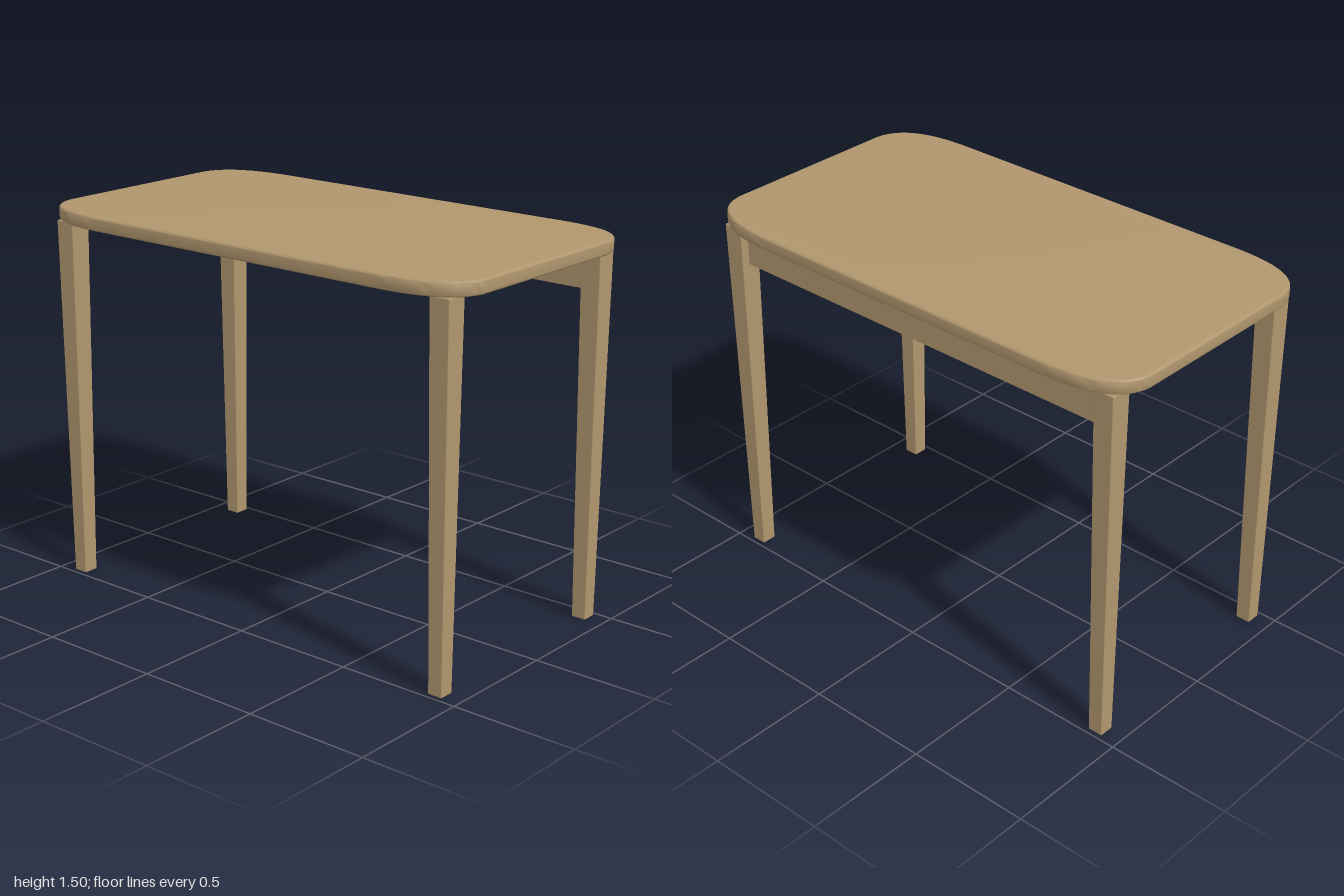
import * as THREE from 'three';
import { toCreasedNormals } from 'three/addons/utils/BufferGeometryUtils.js';
import { RoundedBoxGeometry } from 'three/addons/geometries/RoundedBoxGeometry.js';

const TOP_Y = 1.5, UNDER_Y = 1.445;

// Board with long, soft corners and a small rounded edge
function tabletopGeometry() {
  const corner = new THREE.CubicBezierCurve(
    new THREE.Vector2(1, 0.37), new THREE.Vector2(0.99, 0.475),
    new THREE.Vector2(0.9, 0.545), new THREE.Vector2(0.68, 0.548)
  ).getPoints(14);
  const mirror = (sx, sy) => corner.map(p => new THREE.Vector2(p.x * sx, p.y * sy));
  const outline = [
    ...mirror(1, 1), ...mirror(-1, 1).reverse(),
    ...mirror(-1, -1), ...mirror(1, -1).reverse(),
  ];
  const bevel = 0.01;
  const geometry = new THREE.ExtrudeGeometry(new THREE.Shape(outline), {
    depth: TOP_Y - UNDER_Y - 2 * bevel,
    bevelThickness: bevel, bevelSize: bevel, bevelOffset: -bevel, bevelSegments: 4,
  });
  geometry.rotateX(-Math.PI / 2).translate(0, UNDER_Y + bevel, 0);
  return toCreasedNormals(geometry, 0.7);
}

// Square leg, tapering towards the floor
function legGeometry() {
  const topWidth = 0.086, footWidth = 0.06;
  const geometry = new RoundedBoxGeometry(1, UNDER_Y, 1, 2, 0.006);
  geometry.dispose();
  const leg = new RoundedBoxGeometry(topWidth, UNDER_Y, topWidth, 2, 0.005);
  leg.translate(0, UNDER_Y / 2, 0);
  const pos = leg.attributes.position;
  for (let i = 0; i < pos.count; i++) {
    const k = THREE.MathUtils.lerp(footWidth / topWidth, 1, pos.getY(i) / UNDER_Y);
    pos.setX(i, pos.getX(i) * k);
    pos.setZ(i, pos.getZ(i) * k);
  }
  return leg;
}

export function createModel() {
  const table = new THREE.Group();
  table.name = 'table';
  const wood = new THREE.MeshStandardMaterial({ color: 0xb0966e });
  wood.name = 'light wood';

  const add = (geometry, name, x = 0, y = 0, z = 0) => {
    const mesh = new THREE.Mesh(geometry, wood);
    mesh.name = name;
    mesh.position.set(x, y, z);
    table.add(mesh);
  };

  add(tabletopGeometry(), 'tabletop');

  const leg = legGeometry();
  for (const [sz, end] of [[1, 'front'], [-1, 'back']])
    for (const [sx, side] of [[1, 'Left'], [-1, 'Right']])
      add(leg, `${end}${side}Leg`, sx * 0.901, 0, sz * 0.451);

  // Single rail between the back legs
  add(new THREE.BoxGeometry(1.73, 0.16, 0.03), 'backApron', 0, 1.37, -0.445);

  return table;
}
